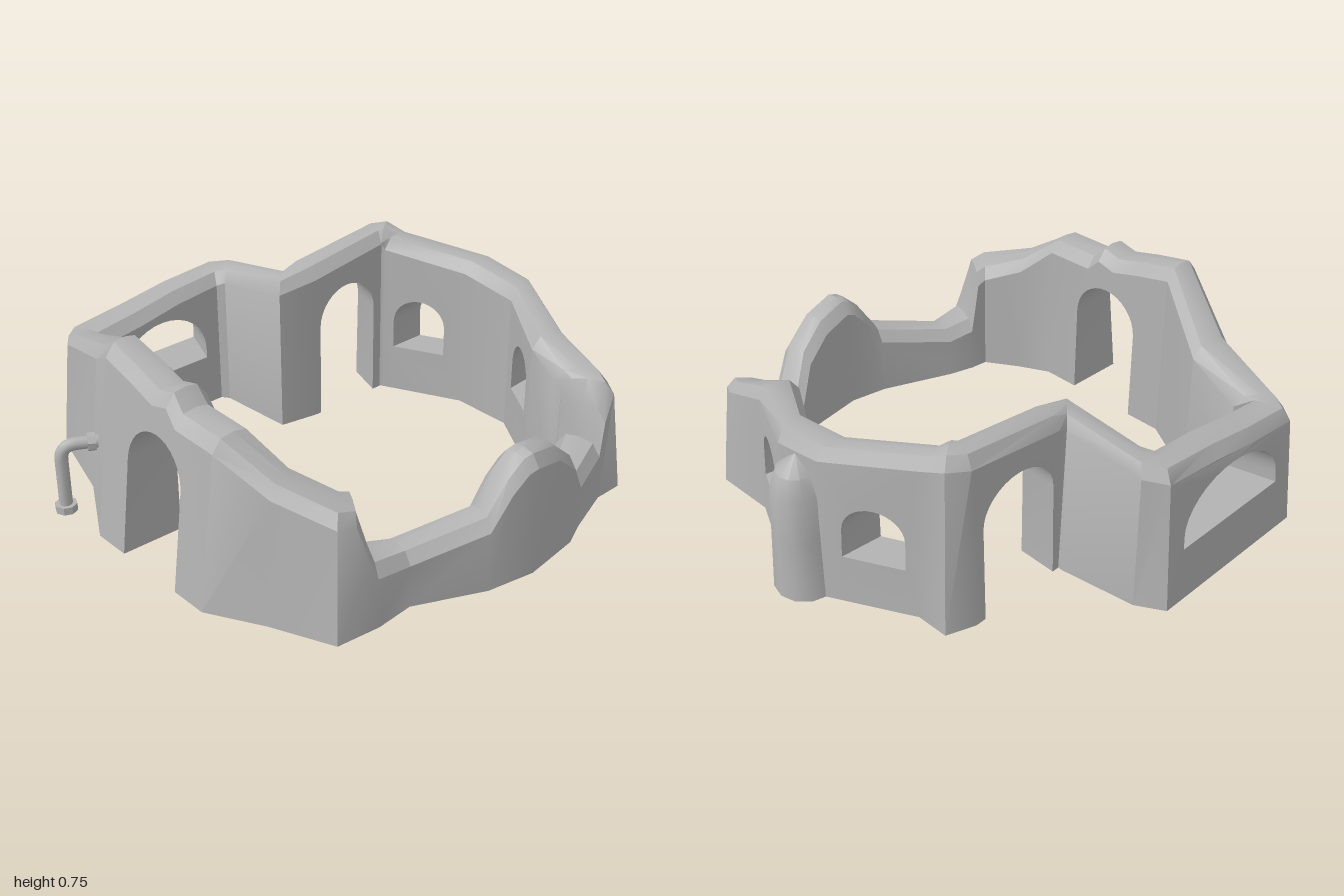
import * as THREE from 'three';
import { toCreasedNormals } from 'three/addons/utils/BufferGeometryUtils.js';

// The walls are hollow and open underneath, so both sides show
const stone = new THREE.MeshStandardMaterial({ color: 0xb2b2b2, side: THREE.DoubleSide });
stone.name = 'stone';

// Plan corners, counter-clockwise from the front left: outer x, z, inner x, z, height
const corners = [
  [-0.955, 0.62, -0.75, 0.55, 0.495],
  [-0.88, 0.69, -0.72, 0.53, 0.5],
  [-0.54, 0.79, -0.5, 0.56, 0.59],
  [-0.25, 0.955, -0.24, 0.71, 0.755],
  [0.35, 0.955, 0.36, 0.71, 0.645],
  [0.56, 0.84, 0.48, 0.65, 0.53],
  [0.79, 0.74, 0.61, 0.57, 0.47],
  [0.81, 0.57, 0.62, 0.5, 0.24],
  [0.8, 0.42, 0.65, 0.4, 0.22],
  [0.92, 0.16, 0.77, 0.12, 0.29],
  [0.955, -0.03, 0.8, -0.03, 0.48],
  [0.925, -0.27, 0.77, -0.26, 0.36],
  [0.88, -0.37, 0.72, -0.35, 0.22],
  [0.81, -0.57, 0.62, -0.54, 0.23],
  [0.81, -0.69, 0.61, -0.55, 0.45],
  [0.75, -0.735, 0.57, -0.55, 0.47],
  [0.5, -0.735, 0.45, -0.56, 0.55],
  [0.17, -0.9, 0.2, -0.72, 0.61],
  [-0.03, -0.9, -0.05, -0.72, 0.64],
  [-0.36, -0.73, -0.36, -0.57, 0.69],
  [-0.49, -0.73, -0.37, -0.56, 0.72],
  [-0.53, -0.62, -0.37, -0.56, 0.715],
  [-0.53, -0.2, -0.37, -0.2, 0.665],
  [-0.55, -0.2, -0.4, -0.04, 0.64],
  [-0.85, -0.16, -0.72, -0.02, 0.59],
  [-0.955, -0.1, -0.75, 0, 0.575],
];

// Openings by the corner their stretch starts from: left, right (0-1), sill, spring line, crown
const openings = {
  3: [0.25, 0.75, 0, 0.38, 0.535],
  16: [0.15, 0.78, 0.2, 0.32, 0.425],
  18: [0.23, 0.87, 0.2, 0.32, 0.425],
  21: [0.11, 0.93, 0, 0.39, 0.54],
  25: [0.12, 0.88, 0.215, 0.26, 0.445],
};

// Breaks in the crest between corners: position (0-1), height
const crests = {
  3: [[0.25, 0.72], [0.45, 0.685], [0.58, 0.705], [0.67, 0.65]],
  6: [[0.5, 0.455], [0.8, 0.32]],
  9: [[0.45, 0.41], [0.8, 0.47]],
  10: [[0.55, 0.45]],
  13: [[0.3, 0.36]],
  25: [[0.35, 0.555], [0.68, 0.52]],
};
const SHOULDER = 0.055;

// Point on stretch a-b: u along it, y up, w from inner (0) to outer (1) face, inset in units.
// The thicker the wall, the more its outer face leans inward.
function wallPoint(a, b, u, y, w, inset = 0) {
  const [ox, oz, ix, iz] = a.map((value, k) => value + (b[k] - value) * u);
  const outer = new THREE.Vector2(ox, oz);
  const inner = new THREE.Vector2(ix, iz);
  const lean = 1.2 * Math.max(0, outer.distanceTo(inner) - 0.14);
  const dir = inner.clone().sub(outer).normalize();
  outer.addScaledVector(dir, lean * y);
  const p = inner.lerp(outer, w).addScaledVector(dir, w > 0.5 ? inset : -inset);
  return [p.x, y, p.y];
}

// Outline of an opening with an elliptical head
function openingPoints([l, r, sill, spring, crown]) {
  const pts = [new THREE.Vector2(r, sill)];
  for (let k = 0; k <= 16; k++) {
    const t = (Math.PI * k) / 16;
    pts.push(new THREE.Vector2((l + r) / 2 + ((r - l) / 2) * Math.cos(t), spring + (crown - spring) * Math.sin(t)));
  }
  pts.push(new THREE.Vector2(l, sill));
  return pts;
}

function wallGeometry() {
  const out = [];
  corners.forEach((a, i) => {
    const b = corners[(i + 1) % corners.length];
    const hole = openings[i];
    const tops = [[0, a[4]], ...(crests[i] || []), [1, b[4]]];

    // Upright body up to the shoulder; a doorway is cut into the outline, a window is a hole
    const outline = [new THREE.Vector2(0, 0)];
    if (hole && hole[2] === 0) outline.push(...openingPoints(hole).reverse());
    outline.push(new THREE.Vector2(1, 0));
    [...tops].reverse().forEach(([u, h]) => outline.push(new THREE.Vector2(u, h - SHOULDER)));
    const shape = new THREE.Shape(outline);
    if (hole && hole[2] > 0) shape.holes.push(new THREE.Path(openingPoints(hole)));
    const pos = new THREE.ExtrudeGeometry(shape, { depth: 1, bevelEnabled: false }).attributes.position;
    // leave out the joints between stretches and the open underside
    const hidden = [(n) => pos.getX(n) < 1e-5, (n) => pos.getX(n) > 1 - 1e-5, (n) => pos.getY(n) < 1e-5];
    for (let k = 0; k < pos.count; k += 3) {
      const tri = [k, k + 1, k + 2];
      if (hidden.some((test) => tri.every(test))) continue;
      tri.forEach((n) => out.push(...wallPoint(a, b, pos.getX(n), pos.getY(n), pos.getZ(n))));
    }

    // Worn, chamfered coping
    const ring = ([u, h]) => [
      wallPoint(a, b, u, h - SHOULDER, 1),
      wallPoint(a, b, u, h - 0.008, 1, 0.03),
      wallPoint(a, b, u, h, 0.5),
      wallPoint(a, b, u, h - 0.008, 0, 0.035),
      wallPoint(a, b, u, h - SHOULDER, 0),
    ];
    for (let k = 0; k < tops.length - 1; k++) {
      const p = ring(tops[k]);
      const q = ring(tops[k + 1]);
      for (let j = 0; j < 4; j++) {
        out.push(...p[j], ...q[j], ...q[j + 1], ...p[j], ...q[j + 1], ...p[j + 1]);
      }
    }
  });
  const geo = new THREE.BufferGeometry();
  geo.setAttribute('position', new THREE.Float32BufferAttribute(out, 3));
  return toCreasedNormals(geo, 0.5);
}

export function createModel() {
  const model = new THREE.Group();
  model.name = 'ruinedHouse';
  const add = (parent, name, geo) => {
    const mesh = new THREE.Mesh(geo, stone);
    mesh.name = name;
    parent.add(mesh);
    return mesh;
  };

  add(model, 'walls', wallGeometry());

  // Rounded buttress on the outside of the back wall, topped by a worn shoulder
  const profile = [[0.12, 0], [0.108, 0.25], [0.1, 0.43], [0.075, 0.51], [0, 0.57]]
    .map(([x, y]) => new THREE.Vector2(x, y));
  const halfRound = new THREE.LatheGeometry(profile, 6, Math.PI / 2, Math.PI);
  const buttress = add(model, 'backButtress', toCreasedNormals(halfRound, 0.6));
  buttress.position.set(0.07, 0, -0.88);

  // Bent water pipe beside the doorway
  const pipe = new THREE.Group();
  pipe.name = 'waterPipe';
  model.add(pipe);
  const path = new THREE.CurvePath();
  const v = (x, y, z) => new THREE.Vector3(x, y, z);
  path.add(new THREE.LineCurve3(v(-0.475, 0, 0.95), v(-0.475, 0.22, 0.95)));
  path.add(new THREE.QuadraticBezierCurve3(v(-0.475, 0.22, 0.95), v(-0.475, 0.28, 0.95), v(-0.445, 0.28, 0.895)));
  path.add(new THREE.LineCurve3(v(-0.445, 0.28, 0.895), v(-0.39, 0.28, 0.795)));
  add(pipe, 'pipeTube', new THREE.TubeGeometry(path, 28, 0.025, 10));
  const foot = add(pipe, 'pipeFoot', toCreasedNormals(new THREE.CylinderGeometry(0.042, 0.042, 0.03, 8), 0.5));
  foot.position.set(-0.475, 0.015, 0.95);
  const collar = add(pipe, 'pipeCollar', toCreasedNormals(new THREE.CylinderGeometry(0.035, 0.035, 0.03, 8), 0.5));
  collar.position.set(-0.42, 0.28, 0.85);
  collar.quaternion.setFromUnitVectors(v(0, 1, 0), v(0.055, 0, -0.1).normalize());

  return model;
}
